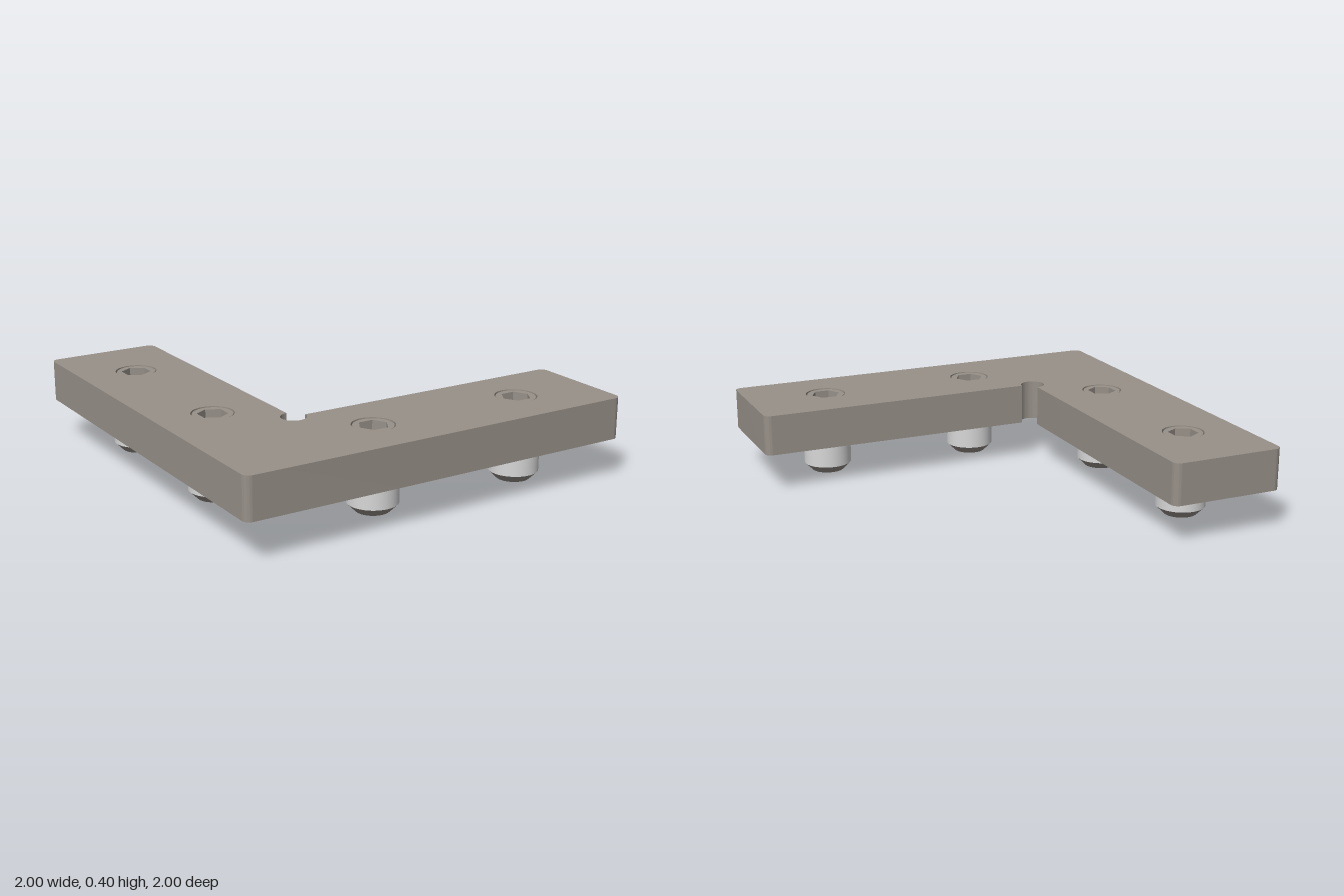
import * as THREE from 'three';
import { toCreasedNormals } from 'three/addons/utils/BufferGeometryUtils.js';

const steel = new THREE.MeshStandardMaterial({ color: 0x989189 });
steel.name = 'warm grey steel';
const thread = new THREE.MeshStandardMaterial({ color: 0xd8d8d8 });
thread.name = 'light thread';

// screw centres [x, z, socket turn]
const SCREWS = [
  [-0.72, -0.6, 0], [-0.72, 0.2, 0],
  [-0.2, 0.72, Math.PI / 6], [0.6, 0.72, Math.PI / 6],
];
const HOLE_R = 0.1;
const TOP = 0.397;

function part(name, geometry, material) {
  const mesh = new THREE.Mesh(geometry, material);
  mesh.name = name;
  return mesh;
}

function lathe(points, segments, crease) {
  const g = new THREE.LatheGeometry(points.map(([r, y]) => new THREE.Vector2(r, y)), segments);
  return toCreasedNormals(g, crease);
}

// L-shaped plate with rounded corners, a corner relief and screw holes
function makePlate() {
  const r = 0.035, a = 0.44, q = Math.PI / 2;
  const s = new THREE.Shape();
  s.moveTo(-1 + r, -1);
  s.absarc(1 - r, -1 + r, r, -q, 0);
  s.absarc(1 - r, -a - r, r, 0, q);
  s.absarc(-a, -a, 0.06, 0, -3 * q, true);
  s.absarc(-a - r, 1 - r, r, 0, q);
  s.absarc(-1 + r, 1 - r, r, q, 2 * q);
  s.absarc(-1 + r, -1 + r, r, 2 * q, 3 * q);
  for (const [x, z] of SCREWS) {
    s.holes.push(new THREE.Path().absarc(x, -z, HOLE_R, 0, Math.PI * 2, true));
  }
  const g = new THREE.ExtrudeGeometry(s, { depth: 0.2, bevelEnabled: false, curveSegments: 20 });
  g.rotateX(-Math.PI / 2);
  g.translate(0, 0.2, 0);
  return part('plate', toCreasedNormals(g, 0.6), steel);
}

// set screw: bevelled tip, thread, and a top face with a hexagon socket
function makeScrew(turn) {
  const screw = new THREE.Group();
  screw.name = 'setScrew';
  const hexR = 0.071;

  screw.add(part('screwTip', lathe([[0, 0], [0.08, 0], [0.12, 0.04]], 48, 0.5), steel));

  const body = new THREE.CylinderGeometry(0.12, 0.12, 0.18, 48, 1, true);
  body.translate(0, 0.13, 0);
  screw.add(part('screwThread', body, thread));

  // bevelled rim just below the plate surface
  screw.add(part('screwRim', lathe([[HOLE_R, 0.38], [0.093, TOP]], 48, 0.5), steel));

  const face = new THREE.Shape().absarc(0, 0, 0.093, 0, Math.PI * 2);
  const hex = [];
  for (let i = 0; i < 6; i++) {
    const t = -i * Math.PI / 3 + Math.PI / 2;
    hex.push(new THREE.Vector2(hexR * Math.cos(t), hexR * Math.sin(t)));
  }
  face.holes.push(new THREE.Path(hex));
  const faceGeo = new THREE.ShapeGeometry(face, 48);
  faceGeo.rotateX(-Math.PI / 2);
  faceGeo.translate(0, TOP, 0);
  screw.add(part('screwTop', faceGeo, steel));

  // socket walls and pointed floor
  const socket = lathe([[hexR, TOP], [hexR, TOP - 0.1], [0, TOP - 0.135]], 6, 0.05);
  screw.add(part('hexSocket', socket, steel));

  screw.rotation.y = turn;
  return screw;
}

export function createModel() {
  const model = new THREE.Group();
  model.name = 'cornerBracket';
  model.add(makePlate());
  for (const [x, z, turn] of SCREWS) {
    const screw = makeScrew(turn);
    screw.position.set(x, 0, z);
    model.add(screw);
  }
  return model;
}
